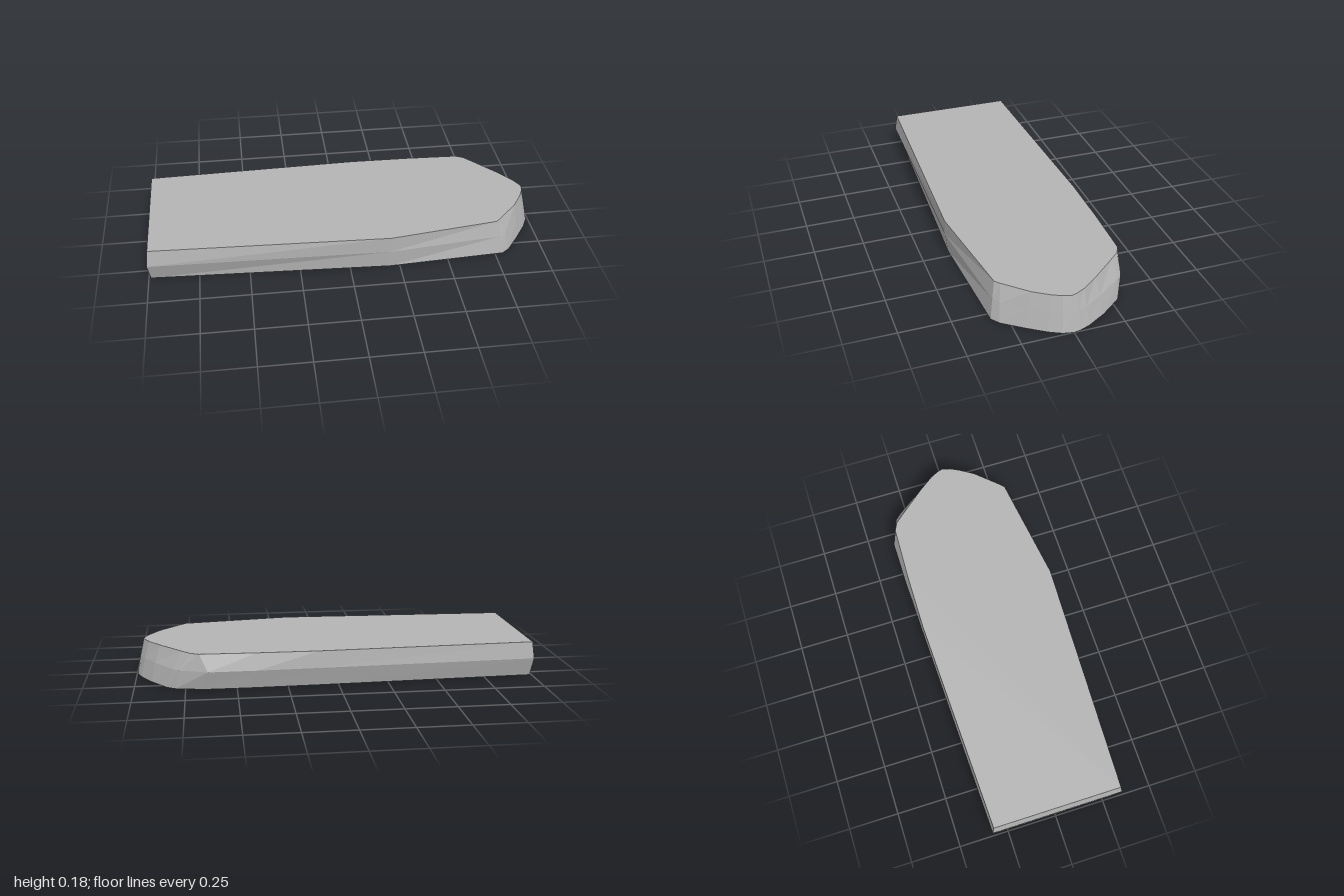
import * as THREE from 'three';

// Matching outlines, [x, z] pairs, running from the stern along the back, round the nose and home
const bottom = [[-0.99, -0.30], [0.1, -0.335], [0.45, -0.342], [0.66, -0.34], [0.8, -0.31], [0.84, -0.285], [0.92, -0.18],
  [0.975, -0.085], [0.995, -0.03], [1, 0], [0.99, 0.05], [0.96, 0.11], [0.9, 0.2], [0.83, 0.295], [0.79, 0.325], [0.2, 0.36], [-0.99, 0.31]];
const middle = [[-1, -0.33], [0.1, -0.364], [0.4, -0.372], [0.64, -0.372], [0.78, -0.322], [0.81, -0.29], [0.9, -0.165],
  [0.955, -0.075], [0.974, -0.027], [0.98, 0], [0.97, 0.045], [0.942, 0.1], [0.89, 0.18], [0.805, 0.287], [0.77, 0.31], [0.2, 0.369], [-1, 0.342]];
const top = [[-0.99, -0.322], [0.1, -0.358], [0.4, -0.355], [0.68, -0.345], [0.72, -0.325], [0.76, -0.28], [0.87, -0.15],
  [0.93, -0.07], [0.953, -0.025], [0.96, 0], [0.95, 0.04], [0.925, 0.09], [0.88, 0.16], [0.775, 0.273], [0.75, 0.295], [0.2, 0.371], [-0.99, 0.33]];

// Stack of outlines joined by walls and closed by two flat caps
function loft(rings, heights) {
  const n = rings[0].length;
  const positions = rings.flatMap((ring, r) => ring.flatMap(([x, z]) => [x, heights[r], z]));
  const index = [];
  for (let r = 0; r < rings.length - 1; r++) {
    for (let i = 0; i < n; i++) {
      const a = r * n + i, b = r * n + (i + 1) % n;
      index.push(a, a + n, b, b, a + n, b + n);
    }
  }
  const cap = (r, up) => {
    const faces = THREE.ShapeUtils.triangulateShape(rings[r].map(([x, z]) => new THREE.Vector2(x, -z)), []);
    // Wind each triangle by its own area sign so the cap faces outward
    for (const [a, b, c] of faces) {
      const [p, q, s] = [rings[r][a], rings[r][b], rings[r][c]];
      const facesUp = (q[1] - p[1]) * (s[0] - p[0]) - (q[0] - p[0]) * (s[1] - p[1]) > 0;
      const tri = facesUp === up ? [a, b, c] : [a, c, b];
      index.push(...tri.map((v) => v + r * n));
    }
  };
  cap(0, false);
  cap(rings.length - 1, true);
  const geometry = new THREE.BufferGeometry();
  geometry.setAttribute('position', new THREE.Float32BufferAttribute(positions, 3));
  geometry.setIndex(index);
  const faceted = geometry.toNonIndexed();
  faceted.computeVertexNormals();
  return faceted;
}

export function createModel() {
  const group = new THREE.Group();
  group.name = 'slab';
  const grey = new THREE.MeshStandardMaterial({ color: 0xb4b4b4 });
  grey.name = 'grey';

  // Solid pointed slab with bulging sides and a raked nose
  const body = new THREE.Mesh(loft([bottom, middle, top], [0, 0.095, 0.18]), grey);
  body.name = 'body';
  group.add(body);
  return group;
}
